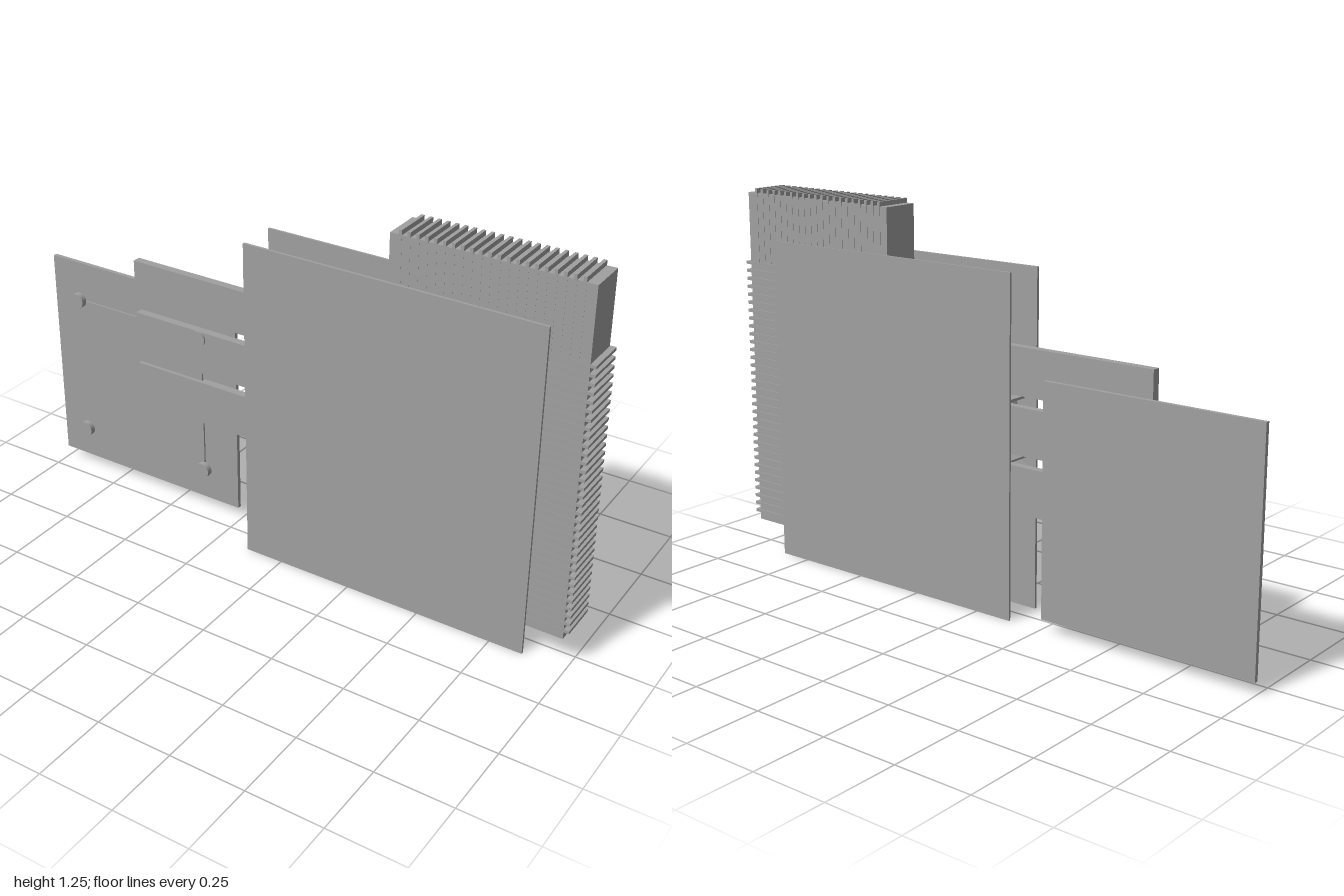
import * as THREE from 'three';

const grey = new THREE.MeshStandardMaterial({ color: 0xa0a0a0 });
grey.name = 'plain grey';

// Box given by its two extreme values on each axis
function slab(parent, name, [x0, x1], [y0, y1], [z0, z1]) {
  const mesh = new THREE.Mesh(new THREE.BoxGeometry(x1 - x0, y1 - y0, z1 - z0), grey);
  mesh.position.set((x0 + x1) / 2, (y0 + y1) / 2, (z0 + z1) / 2);
  mesh.name = name;
  parent.add(mesh);
  return mesh;
}

function disc(parent, name, radius, x, y, [z0, z1], sides) {
  const geometry = new THREE.CylinderGeometry(radius, radius, z1 - z0, sides);
  geometry.rotateX(Math.PI / 2);
  const mesh = new THREE.Mesh(geometry, grey);
  mesh.position.set(x, y, (z0 + z1) / 2);
  mesh.name = name;
  parent.add(mesh);
  return mesh;
}

function subgroup(parent, name) {
  const group = new THREE.Group();
  group.name = name;
  parent.add(group);
  return group;
}

export function createModel() {
  const model = new THREE.Group();
  model.name = 'blowerCooler';

  // Blower housing: two square covers
  slab(model, 'frontCover', [-0.13, 0.86], [0, 1.09], [0.065, 0.074]);
  slab(model, 'backCover', [-0.13, 0.86], [0, 1.09], [-0.067, -0.06]);

  // Bladed fan wheel between the covers
  const fan = subgroup(model, 'fanWheel');
  fan.position.set(0.365, 0.545, 0);
  disc(fan, 'fanHub', 0.44, 0, 0, [-0.058, 0.062], 64);
  const blades = 80;
  for (let i = 0; i < blades; i++) {
    const angle = (i / blades) * Math.PI * 2;
    const blade = slab(fan, 'fanBlade', [-0.025, 0.025], [-0.004, 0.004], [-0.059, 0.063]);
    blade.position.x = Math.cos(angle) * 0.448;
    blade.position.y = Math.sin(angle) * 0.448;
    blade.rotation.z = angle + 0.35;
  }

  // Heat sink block with fins on the top and the side
  const sink = subgroup(model, 'heatSink');
  slab(sink, 'heatSinkBlock', [0.36, 0.98], [0.1, 1.24], [-0.062, 0.064]);
  for (let i = 0; i < 21; i++) {
    const x = 0.393 + i * 0.0275;
    slab(sink, 'topFin', [x - 0.005, x + 0.005], [1.0, 1.255], [-0.063, 0.0645]);
  }
  for (let i = 0; i < 33; i++) {
    const y = 0.13 + i * 0.0273;
    slab(sink, 'sideFin', [0.7, 0.998], [y - 0.005, y + 0.005], [-0.066, 0.0648]);
  }

  // Three flat heat pipes
  for (const y of [0.35, 0.535, 0.72]) {
    slab(model, 'heatPipe', [-0.63, 0.06], [y, y + 0.15], [-0.055, -0.028]);
  }

  // Base board, chip and mounting plate with four studs
  const mount = subgroup(model, 'chipMount');
  slab(mount, 'baseBoard', [-1, -0.26], [0.04, 0.785], [-0.074, -0.06]);
  slab(mount, 'chip', [-0.75, -0.51], [0.29, 0.535], [-0.06, -0.053]);
  slab(mount, 'mountingPlate', [-0.88, -0.38], [0.165, 0.66], [-0.046, -0.04]);
  for (const x of [-0.88, -0.38]) {
    for (const y of [0.165, 0.66]) disc(mount, 'mountingStud', 0.026, x, y, [-0.041, -0.022], 24);
  }

  return model;
}
